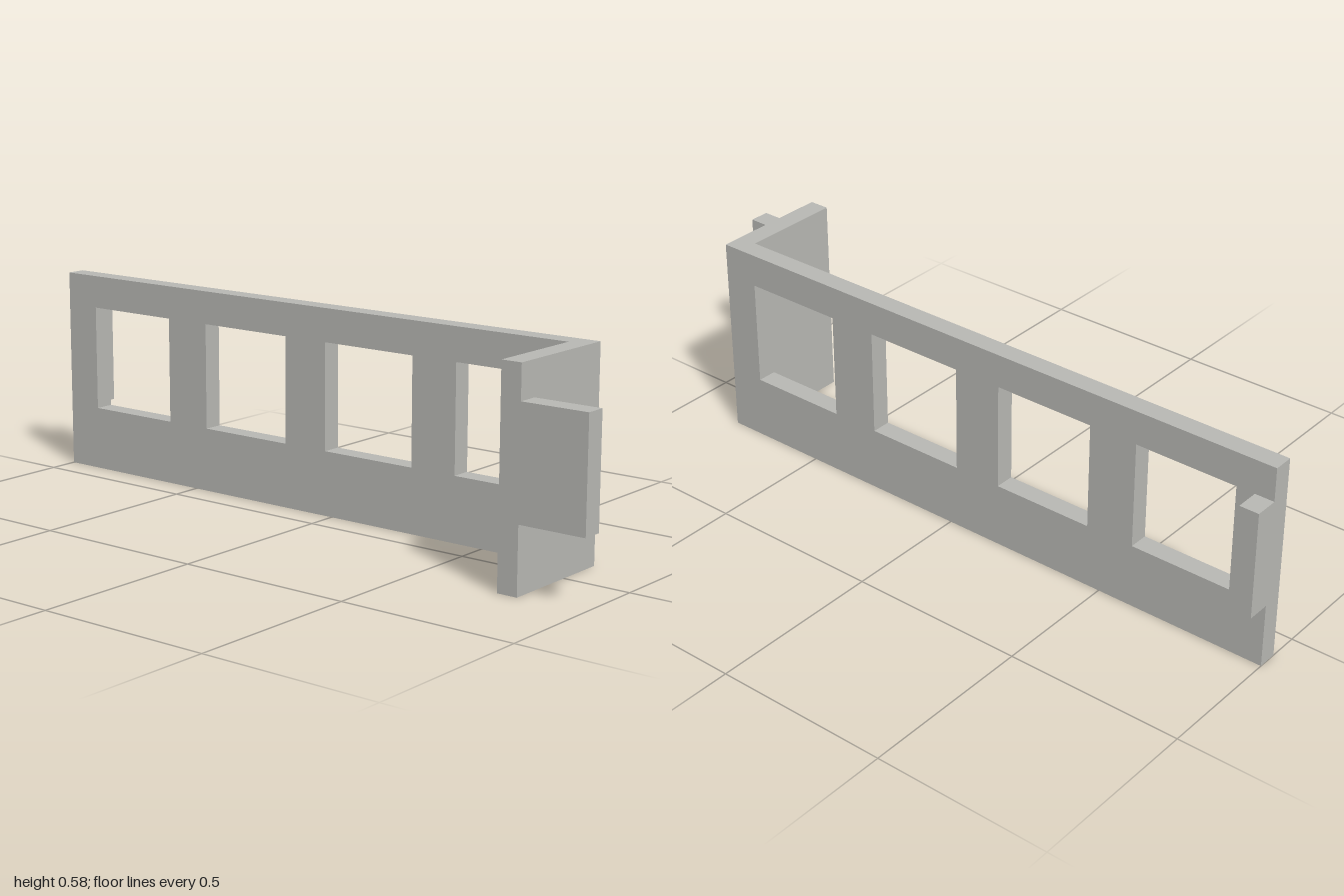
import * as THREE from 'three';

const grey = new THREE.MeshStandardMaterial({ color: 0xb8b8b4 });
grey.name = 'light grey';

const HEIGHT = 0.58;
const OPEN_LOW = 0.183, OPEN_HIGH = 0.486; // shared by windows and tabs

// Box given by its limits on each axis
function block(name, [x0, x1], [y0, y1], [z0, z1]) {
  const mesh = new THREE.Mesh(new THREE.BoxGeometry(x1 - x0, y1 - y0, z1 - z0), grey);
  mesh.position.set((x0 + x1) / 2, (y0 + y1) / 2, (z0 + z1) / 2);
  mesh.name = name;
  return mesh;
}

function rectangle(target, x0, x1, y0, y1) {
  target.moveTo(x0, y0);
  target.lineTo(x1, y0);
  target.lineTo(x1, y1);
  target.lineTo(x0, y1);
  target.closePath();
  return target;
}

export function createModel() {
  const group = new THREE.Group();
  group.name = 'windowedBracket';

  // Long panel with four windows, drawn along -z and extruded across x
  const outline = rectangle(new THREE.Shape(), -0.81, 1, 0, HEIGHT);
  for (let i = 0; i < 4; i++) {
    const start = -0.706 + i * 0.435;
    outline.holes.push(rectangle(new THREE.Path(), start, start + 0.294, OPEN_LOW, OPEN_HIGH));
  }
  const panelGeometry = new THREE.ExtrudeGeometry(outline, { depth: 0.056, bevelEnabled: false });
  panelGeometry.rotateY(Math.PI / 2);
  const panel = new THREE.Mesh(panelGeometry, grey);
  panel.position.x = 0.085;
  panel.name = 'longPanel';
  group.add(panel);

  // Short wall turned at the front end
  group.add(block('frontWall', [-0.208, 0.085], [0, HEIGHT], [0.752, 0.81]));

  // Mounting tabs at both ends
  group.add(block('frontTab', [-0.208, -0.15], [OPEN_LOW, OPEN_HIGH], [0.81, 1]));
  group.add(block('rearTab', [0.141, 0.207], [OPEN_LOW, OPEN_HIGH], [-1, -0.945]));

  return group;
}
